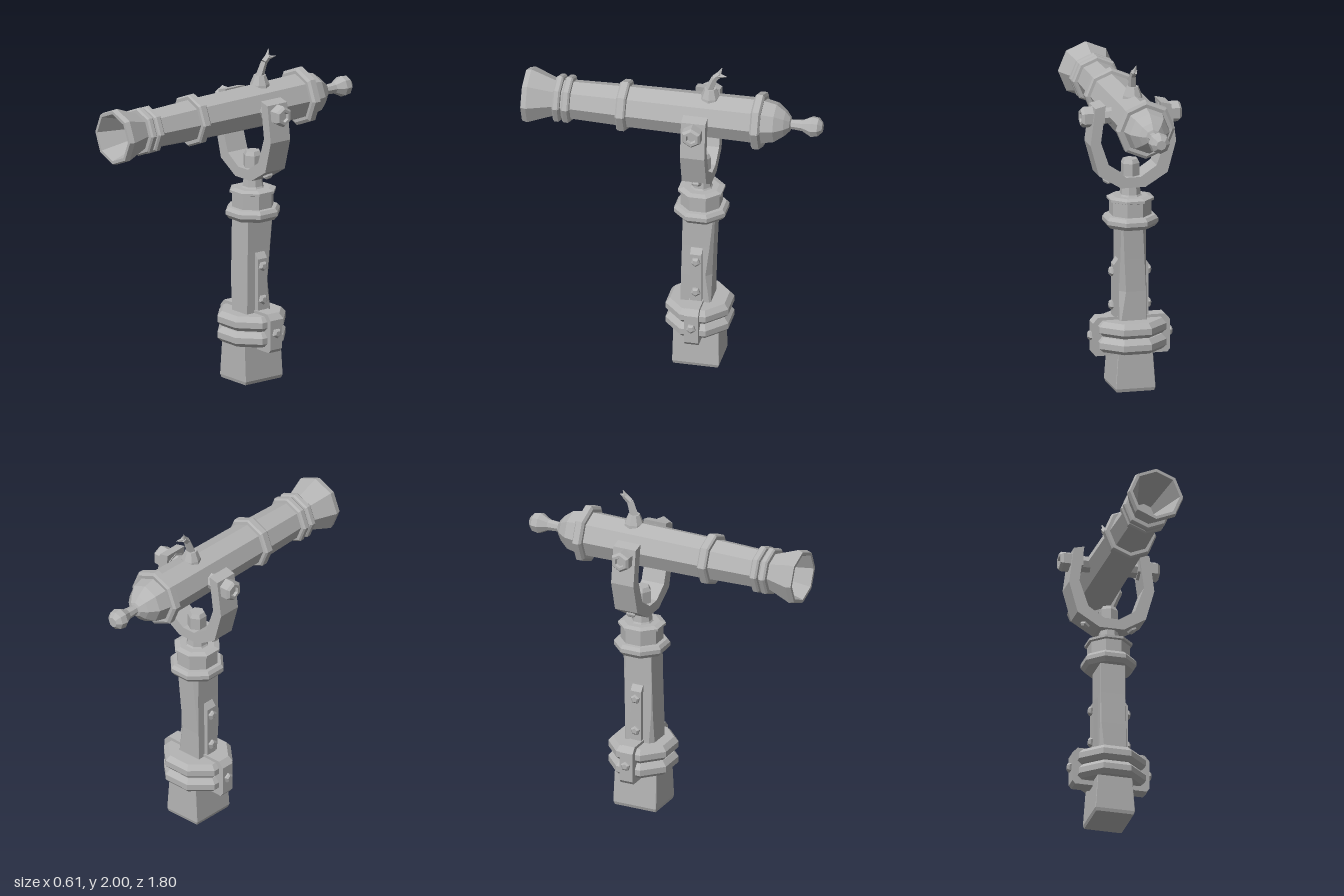
import * as THREE from 'three';

const iron = new THREE.MeshStandardMaterial({ color: 0xb4b4b4 });
iron.name = 'grey iron';

const PIVOT_Z = -0.165; // swivel axis
const BARREL_Y = 1.67;
const UP = new THREE.Vector3(0, 1, 0);

// Faceted mesh
function part(group, name, geometry) {
  const g = geometry.index ? geometry.toNonIndexed() : geometry;
  g.computeVertexNormals();
  const mesh = new THREE.Mesh(g, iron);
  mesh.name = name;
  group.add(mesh);
  return mesh;
}

// Low-poly turned solid; profile of [radius, height] from bottom to top
function turned(profile, sides, start = 0) {
  return new THREE.LatheGeometry(profile.map(([r, y]) => new THREE.Vector2(r, y)), sides, start);
}

// Octagon turned solid with flat sides to the axes; radii are to the flats
function octagon(profile) {
  const k = 1 / Math.cos(Math.PI / 8);
  return turned(profile.map(([r, y]) => [r * k, y]), 8, Math.PI / 8);
}

// Turned part placed at a point and aimed along a direction
function aimed(group, name, geometry, at, dir) {
  const mesh = part(group, name, geometry);
  mesh.position.set(...at);
  mesh.quaternion.setFromUnitVectors(UP, new THREE.Vector3(...dir).normalize());
  return mesh;
}

function rod(group, name, a, b, ra, rb) {
  const d = b.map((v, i) => v - a[i]);
  const len = Math.hypot(...d);
  aimed(group, name, turned([[0, 0], [ra, 0], [rb, len], [0, len]], 5), a, d);
}

// Plate from an outline in x and y, centred on the swivel axis
function plate(group, name, outline, depth) {
  const shape = new THREE.Shape(outline.map(([x, y]) => new THREE.Vector2(x, y)));
  const g = new THREE.ExtrudeGeometry(shape, { depth, bevelEnabled: false });
  g.translate(0, 0, PIVOT_Z - depth / 2);
  return part(group, name, g);
}

// Square timber from sections: y, half width, front z, back z, chamfers (+x front, +x back, -x back, -x front)
function timber(sections) {
  const loops = sections.map(([y, h, f, b, c]) => [
    [h - c[0], y, f], [h, y, f - c[0]], [h, y, b + c[1]], [h - c[1], y, b],
    [-h + c[2], y, b], [-h, y, b + c[2]], [-h, y, f - c[3]], [-h + c[3], y, f],
  ]);
  const pos = [];
  for (let j = 0; j + 1 < loops.length; j++) {
    for (let i = 0; i < 8; i++) {
      const k = (i + 1) % 8, lo = loops[j], hi = loops[j + 1];
      pos.push(...lo[i], ...lo[k], ...hi[i], ...lo[k], ...hi[k], ...hi[i]);
    }
  }
  const bottom = loops[0], top = loops[loops.length - 1];
  for (let i = 1; i < 7; i++) {
    pos.push(...bottom[0], ...bottom[i + 1], ...bottom[i]);
    pos.push(...top[0], ...top[i], ...top[i + 1]);
  }
  const g = new THREE.BufferGeometry();
  g.setAttribute('position', new THREE.Float32BufferAttribute(pos, 3));
  return g;
}

function bolt(group, name, at, dir) {
  aimed(group, name, turned([[0.03, -0.01], [0.03, 0.012], [0.018, 0.022], [0, 0.022]], 5, Math.PI / 2), at, dir);
}

function buildPost(root) {
  const post = new THREE.Group();
  post.name = 'post';
  root.add(post);

  // Foot and worn shaft
  const e = 0.003;
  part(post, 'foot', timber([
    [0, 0.115, -0.017, -0.29, [e, e, e, e]],
    [0.02, 0.122, -0.012, -0.296, [e, e, e, e]],
    [0.26, 0.105, -0.016, -0.292, [e, e, e, e]],
  ]));
  part(post, 'shaft', timber([
    [0.38, 0.082, -0.053, -0.237, [e, e, e, 0.03]],
    [0.6, 0.08, -0.057, -0.24, [e, 0.035, e, 0.008]],
    [0.8, 0.077, -0.062, -0.25, [e, 0.02, 0.012, e]],
    [1.01, 0.077, -0.066, -0.262, [e, 0.01, 0.025, e]],
  ]));

  // Double clamp ring round the foot
  [0.235, 0.332].forEach((y, i) => {
    const ring = part(post, 'clampRing' + (i + 1), octagon([
      [0, 0], [0.18, 0], [0.205, 0.024], [0.205, 0.06], [0.178, 0.09], [0, 0.09],
    ]));
    ring.position.set(0, y, -0.155);
    ring.scale.z = 0.93;
  });

  // Side straps, lugs and bolts
  for (const s of [1, -1]) {
    const side = s > 0 ? 'left' : 'right';
    const mirror = (pts) => pts.map(([x, y]) => [s * x, y]);
    plate(post, side + 'Strap', mirror([[0.06, 0.4], [0.106, 0.4], [0.106, 0.755], [0.08, 0.79], [0.06, 0.79]]), 0.07)
      .position.z = 0.012;
    plate(post, side + 'ClampLug', mirror([
      [0.08, 0.205], [0.22, 0.205], [0.236, 0.225], [0.236, 0.405], [0.205, 0.44], [0.08, 0.44],
    ]), 0.085).position.z = 0.012;
    for (const y of [0.71, 0.505]) bolt(post, side + 'StrapBolt', [s * 0.106, y, -0.153], [s, 0, 0]);
    bolt(post, side + 'ClampBolt', [s * 0.236, 0.325, -0.153], [s, 0, 0]);
  }

  // Head collar
  part(post, 'collar', octagon([
    [0, 0.99], [0.135, 0.99], [0.155, 1.015], [0.155, 1.04], [0.14, 1.06], [0.118, 1.062],
    [0.118, 1.145], [0.132, 1.15], [0.132, 1.165], [0.1, 1.175], [0, 1.175],
  ])).position.z = PIVOT_Z;
}

function buildYoke(root) {
  const yoke = new THREE.Group();
  yoke.name = 'yoke';
  root.add(yoke);

  // Swivel pin
  part(yoke, 'pinNeck', octagon([[0.07, 1.165], [0.058, 1.185], [0.052, 1.25], [0, 1.25]])).position.z = PIVOT_Z;
  part(yoke, 'pinHead', turned([[0.058, 1.28], [0.058, 1.375], [0.045, 1.4], [0, 1.4]], 6)).position.z = PIVOT_Z;

  // U-shaped fork
  const outer = [[0.075, 1.237], [0.21, 1.32], [0.262, 1.51], [0.232, 1.735]];
  const inner = [[0.168, 1.75], [0.198, 1.525], [0.143, 1.365], [0.045, 1.3]];
  const half = [...outer, ...inner];
  plate(yoke, 'fork', [...half, ...half.map(([x, y]) => [-x, y]).reverse()], 0.148);

  // Trunnions, hex nuts and fork bolts
  for (const s of [1, -1]) {
    const side = s > 0 ? 'left' : 'right';
    aimed(yoke, side + 'Trunnion', turned([[0.05, 0], [0.05, 0.12]], 8), [s * 0.08, BARREL_Y, PIVOT_Z], [s, 0, 0]);
    aimed(yoke, side + 'Nut', turned([
      [0, 0], [0.064, 0], [0.064, 0.122], [0.05, 0.137], [0.032, 0.137], [0.026, 0.12], [0, 0.12],
    ], 6, Math.PI / 6), [s * 0.168, BARREL_Y, PIVOT_Z], [s, 0, 0]);
    bolt(yoke, side + 'ForkBolt', [s * 0.14, 1.277, PIVOT_Z], [s * 0.52, -0.85, 0]);
  }
}

function buildCannon(root) {
  const cannon = new THREE.Group();
  cannon.name = 'cannon';
  root.add(cannon);

  // Barrel from rear knob to muzzle, then back down the bore
  const barrel = turned([
    [0, -0.9], [0.03, -0.9], [0.058, -0.875], [0.064, -0.835], [0.035, -0.78], [0.03, -0.71],
    [0.045, -0.705], [0.08, -0.675], [0.122, -0.62], [0.138, -0.545],
    [0.16, -0.548], [0.178, -0.538], [0.178, -0.5], [0.16, -0.488], [0.14, -0.488],
    [0.131, 0.27], [0.15, 0.272], [0.16, 0.282], [0.16, 0.32], [0.15, 0.33], [0.128, 0.33],
    [0.12, 0.612], [0.138, 0.614], [0.148, 0.624], [0.148, 0.65], [0.138, 0.66], [0.12, 0.662],
    [0.12, 0.67], [0.138, 0.672], [0.148, 0.682], [0.148, 0.706], [0.138, 0.716], [0.115, 0.718],
    [0.172, 0.868], [0.164, 0.9], [0.145, 0.9], [0.06, 0.62], [0, 0.62],
  ], 8);
  barrel.rotateX(Math.PI / 2);
  part(cannon, 'barrel', barrel).position.y = BARREL_Y;

  // Vent and frayed fuse
  part(cannon, 'vent', turned([[0.062, 1.77], [0.058, 1.8], [0.036, 1.855], [0, 1.855]], 8)).position.z = -0.218;
  const bend = [0.006, 1.93, -0.245], fork = [0.004, 1.962, -0.28];
  rod(cannon, 'fuseBase', [0, 1.84, -0.212], bend, 0.027, 0.021);
  rod(cannon, 'fuseTop', bend, fork, 0.021, 0.02);
  rod(cannon, 'fuseStrandUpper', [0.004, 1.95, -0.268], [-0.006, 2, -0.288], 0.018, 0.002);
  rod(cannon, 'fuseStrandLower', [0.008, 1.952, -0.27], [0.022, 1.958, -0.322], 0.017, 0.002);
}

export function createModel() {
  const root = new THREE.Group();
  root.name = 'swivelCannon';
  buildPost(root);
  buildYoke(root);
  buildCannon(root);
  return root;
}
